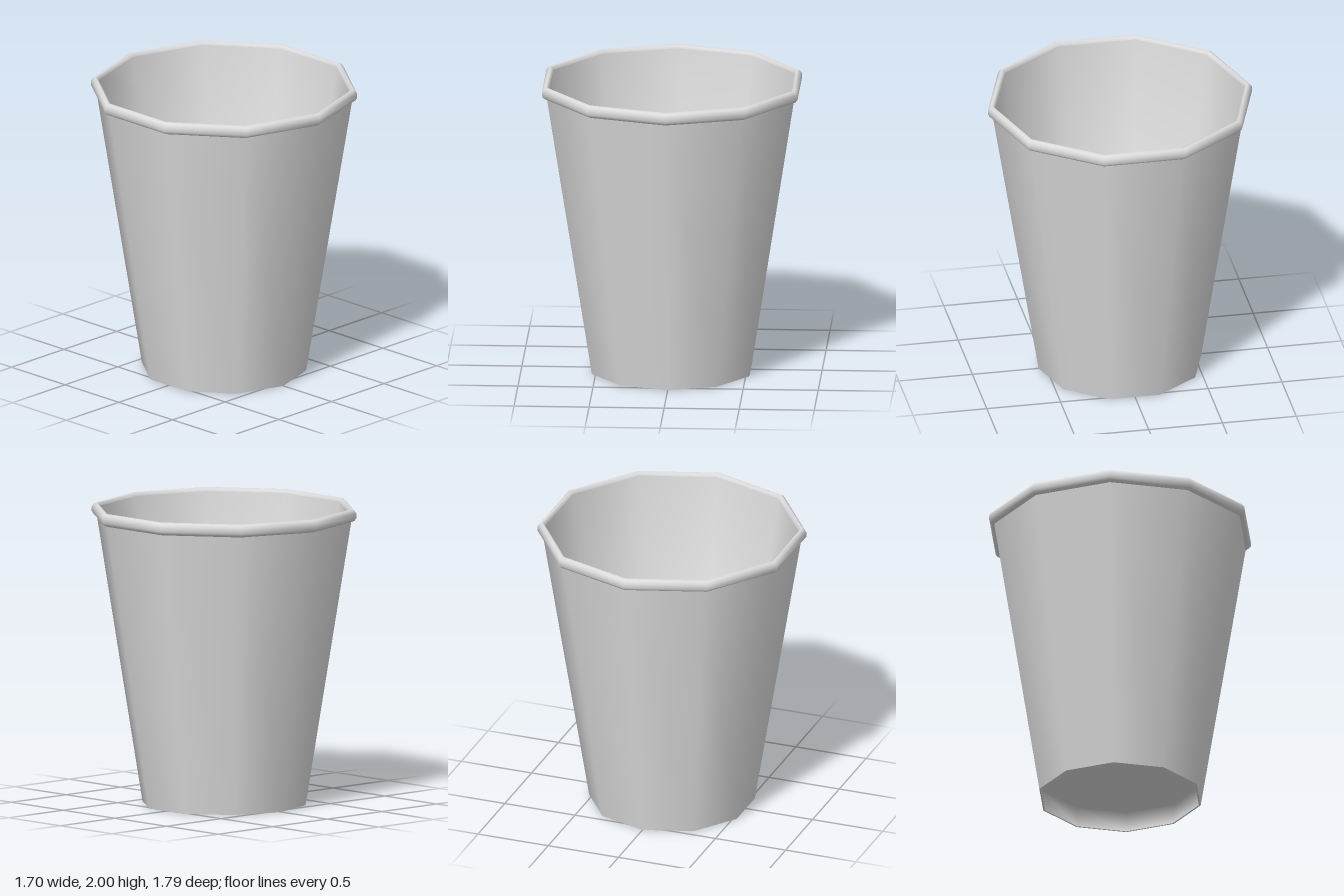
import * as THREE from 'three';

const SIDES = 10;

export function createModel() {
  const cup = new THREE.Group();
  cup.name = 'cup';
  const paper = new THREE.MeshStandardMaterial({ color: 0xdddddd, side: THREE.DoubleSide });
  paper.name = 'pale paper';

  // Revolves a [radius, height] profile into a ten-sided shell, smooth within each part
  const addShell = (name, profile) => {
    const points = profile.map(([r, y]) => new THREE.Vector2(r, y));
    const mesh = new THREE.Mesh(new THREE.LatheGeometry(points, SIDES), paper);
    mesh.name = name;
    cup.add(mesh);
  };

  // Tapered outside wall
  addShell('outerWall', [[0.552, 0], [0.862, 1.92]]);

  // Rolled lip around the mouth
  addShell('rim', [
    [0.86, 1.912], [0.882, 1.922], [0.895, 1.94], [0.895, 1.972],
    [0.882, 1.991], [0.866, 2], [0.852, 1.992], [0.846, 1.975],
  ]);

  // Inside wall running softly into the floor
  addShell('innerWallAndFloor', [[0.846, 1.975], [0.566, 0.17], [0, 0.17]]);

  // Recessed underside with its foot ring
  addShell('underside', [[0, 0.15], [0.563, 0.15], [0.54, 0]]);
  addShell('footEdge', [[0.54, 0], [0.552, 0]]);

  return cup;
}
